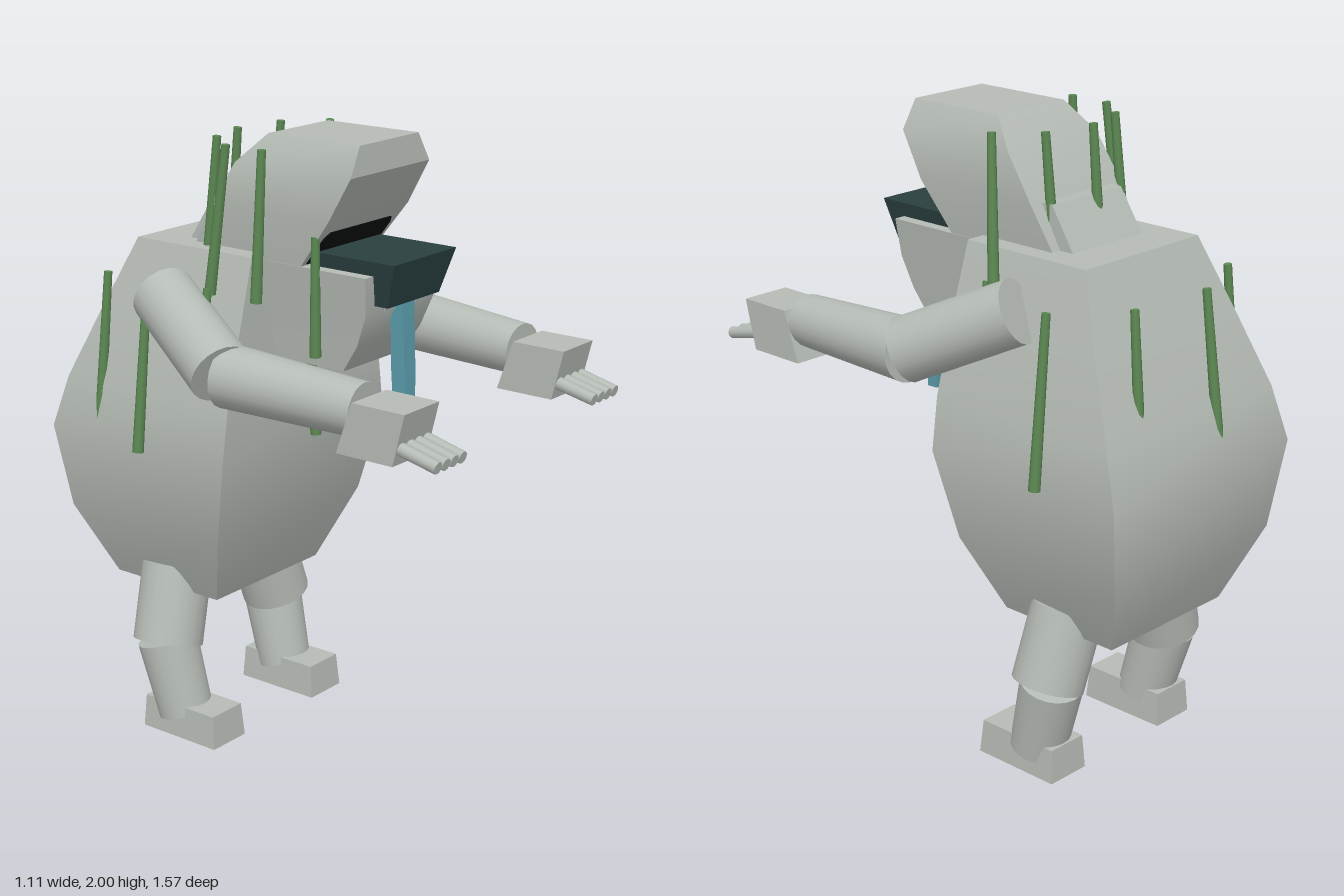
import * as THREE from 'three';
import { toCreasedNormals } from 'three/addons/utils/BufferGeometryUtils.js';

const paint = (name, color) => {
  const m = new THREE.MeshStandardMaterial({ color });
  m.name = name;
  return m;
};

export function createModel() {
  const grey = paint('stone grey', 0xb5bbb5);
  const dark = paint('dark teal', 0x2a4040);
  const green = paint('moss green', 0x5c8853);
  const blue = paint('tongue blue', 0x5a9cab);
  const black = paint('mouth black', 0x0e1212);

  const root = new THREE.Group();
  root.name = 'creature';

  const add = (parent, name, geometry, material) => {
    const mesh = new THREE.Mesh(geometry, material);
    mesh.name = name;
    parent.add(mesh);
    return mesh;
  };

  // Rectangular sections from bottom to top: [y, halfWidth, zFront, zBack]
  const loft = (sections, cx = 0) => {
    const rings = sections.map(([y, w, f, b]) => [
      [cx - w, y, f], [cx + w, y, f], [cx + w, y, b], [cx - w, y, b]]);
    const pos = [];
    const quad = (a, b, c, d) => pos.push(...a, ...b, ...c, ...a, ...c, ...d);
    for (let i = 0; i < rings.length - 1; i++) {
      for (let j = 0; j < 4; j++) {
        const k = (j + 1) % 4;
        quad(rings[i][j], rings[i][k], rings[i + 1][k], rings[i + 1][j]);
      }
    }
    const first = rings[0], last = rings[rings.length - 1];
    quad(first[3], first[2], first[1], first[0]);
    quad(...last);
    const g = new THREE.BufferGeometry();
    g.setAttribute('position', new THREE.Float32BufferAttribute(pos, 3));
    return toCreasedNormals(g, 0.52);
  };

  // Cylinder running between two points
  const rod = (parent, name, a, b, ra, rb, material, sides = 20) => {
    const p = new THREE.Vector3(...a), q = new THREE.Vector3(...b);
    const dir = q.clone().sub(p);
    const mesh = add(parent, name, new THREE.CylinderGeometry(rb, ra, dir.length(), sides), material);
    mesh.position.copy(p).add(q).multiplyScalar(0.5);
    mesh.quaternion.setFromUnitVectors(new THREE.Vector3(0, 1, 0), dir.normalize());
    return mesh;
  };

  // Torso
  add(root, 'body', loft([
    [0.49, 0.255, -0.23, -0.66],
    [0.73, 0.36, -0.13, -0.757],
    [1.01, 0.407, -0.065, -0.787],
    [1.18, 0.382, -0.063, -0.735],
    [1.42, 0.318, -0.065, -0.63],
    [1.64, 0.252, -0.07, -0.535],
  ]), grey);

  // Head, neck and jaw
  add(root, 'head', loft([
    [1.62, 0.185, 0.065, -0.36],
    [1.77, 0.2, 0.18, -0.275],
    [1.91, 0.195, 0.26, -0.18],
    [2.0, 0.145, 0.255, -0.09],
  ]), grey);
  add(root, 'neck', loft([
    [1.6, 0.155, -0.1, -0.425],
    [1.77, 0.153, -0.2, -0.315],
  ]), grey);
  add(root, 'jaw', loft([
    [1.31, 0.15, 0.2, -0.08],
    [1.4, 0.16, 0.26, -0.08],
    [1.5, 0.172, 0.3, -0.08],
    [1.62, 0.187, 0.31, -0.08],
  ]), grey);
  add(root, 'mouthOpening', loft([
    [1.625, 0.165, 0.074, 0.066],
    [1.71, 0.165, 0.139, 0.131],
    [1.73, 0.15, 0.154, 0.146],
  ]), black);
  add(root, 'mouthPlate', loft([
    [1.525, 0.13, 0.35, 0.12],
    [1.665, 0.157, 0.392, 0.085],
  ]), dark);
  for (let i = 0; i < 9; i++) {
    const tooth = add(root, 'tooth', new THREE.ConeGeometry(0.011, 0.045, 6), grey);
    tooth.rotation.x = Math.PI;
    tooth.position.set((i - 4) * 0.026, 1.525, 0.318);
  }
  add(root, 'tongue', loft([
    [1.02, 0.022, 0.345, 0.305],
    [1.3, 0.028, 0.34, 0.29],
    [1.53, 0.03, 0.33, 0.285],
  ]), blue);

  // Arms and legs, mirrored
  for (const s of [-1, 1]) {
    const arm = new THREE.Group();
    arm.name = s > 0 ? 'leftArm' : 'rightArm';
    root.add(arm);
    rod(arm, 'upperArm', [s * 0.34, 1.5, -0.355], [s * 0.46, 1.335, -0.015], 0.1, 0.102, grey);
    rod(arm, 'forearm', [s * 0.44, 1.325, -0.01], [s * 0.41, 1.305, 0.475], 0.098, 0.083, grey);
    add(arm, 'hand', loft([
      [1.19, 0.083, 0.64, 0.44],
      [1.35, 0.083, 0.68, 0.495],
    ], s * 0.41), grey);
    for (let i = 0; i < 4; i++) {
      const x = s * 0.41 + (i - 1.5) * 0.04;
      rod(arm, 'finger', [x, 1.245, 0.63], [x, 1.21, 0.78], 0.021, 0.019, grey, 10);
    }

    const leg = new THREE.Group();
    leg.name = s > 0 ? 'leftLeg' : 'rightLeg';
    root.add(leg);
    rod(leg, 'thigh', [s * 0.205, 0.55, -0.443], [s * 0.278, 0.305, -0.425], 0.115, 0.115, grey);
    rod(leg, 'shin', [s * 0.27, 0.31, -0.435], [s * 0.258, 0.065, -0.37], 0.1, 0.09, grey);
    add(leg, 'foot', loft([
      [0, 0.077, -0.185, -0.492],
      [0.11, 0.07, -0.195, -0.485],
    ], s * 0.254), grey);
  }

  // Thin spines: [topX, topZ, bottomX, bottomZ, topY, bottomY]
  const spines = [
    [-0.105, -0.69, -0.112, -0.75, 1.54, 1.05],
    [0.195, -0.67, 0.205, -0.715, 1.54, 1.05],
    [-0.345, -0.58, -0.385, -0.6, 1.54, 1.02],
    [0.39, -0.51, 0.447, -0.52, 1.54, 1.02],
    [-0.41, -0.355, -0.465, -0.36, 1.54, 1.02],
    [-0.19, -0.255, -0.2, -0.3, 1.98, 1.52],
    [-0.035, -0.305, -0.035, -0.345, 1.98, 1.52],
    [0.145, -0.28, 0.135, -0.32, 1.98, 1.52],
    [0.255, -0.17, 0.295, -0.215, 1.98, 1.52],
    [-0.283, -0.14, -0.308, -0.19, 1.98, 1.52],
    [-0.285, 0.0, -0.305, -0.01, 1.98, 1.52],
    [-0.19, 0.125, -0.19, 0.125, 1.72, 1.35],
    [0.01, -0.07, 0.02, -0.04, 1.54, 1.02],
    [0.28, -0.175, 0.33, -0.2, 1.54, 1.1],
    [-0.32, -0.19, -0.35, -0.2, 1.54, 1.1],
  ];
  for (const [tx, tz, bx, bz, ty, by] of spines) {
    rod(root, 'spine', [bx, by, bz], [tx, ty, tz], 0.018, 0.013, green, 8);
  }

  return root;
}
